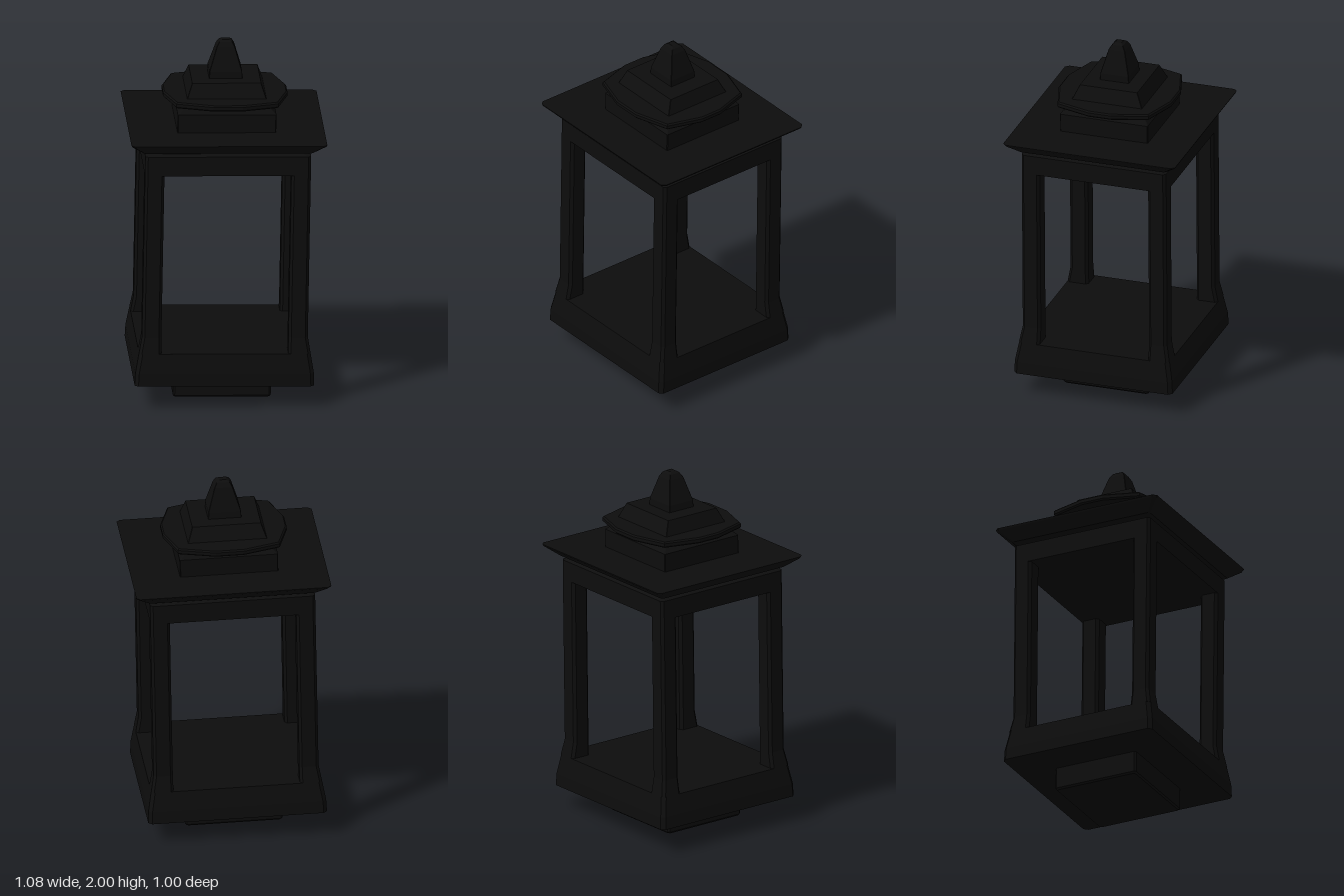
import * as THREE from 'three';

const material = new THREE.MeshStandardMaterial({ color: 0x0d0d0d, flatShading: true });

// Closed solid from stacked rectangles with cut corners: rows of [y, x0, x1, z0, z1, cut]
function loft(name, rows) {
  const rings = rows.map(([y, xa, xb, za, zb, c]) => {
    const x0 = Math.min(xa, xb), x1 = Math.max(xa, xb);
    const z0 = Math.min(za, zb), z1 = Math.max(za, zb);
    return [
      [x1 - c, z1], [x1, z1 - c], [x1, z0 + c], [x1 - c, z0],
      [x0 + c, z0], [x0, z0 + c], [x0, z1 - c], [x0 + c, z1],
    ].map(([x, z]) => [x, y, z]);
  });
  const pos = [];
  const tri = (a, b, c) => pos.push(...a, ...b, ...c);
  for (let r = 0; r < rings.length - 1; r++) {
    for (let i = 0; i < 8; i++) {
      const j = (i + 1) % 8;
      const a = rings[r][i], b = rings[r][j], c = rings[r + 1][j], d = rings[r + 1][i];
      tri(a, b, c);
      tri(a, c, d);
    }
  }
  const bottom = rings[0], top = rings[rings.length - 1];
  for (let i = 1; i < 7; i++) {
    tri(bottom[0], bottom[i + 1], bottom[i]);
    tri(top[0], top[i], top[i + 1]);
  }
  const geometry = new THREE.BufferGeometry();
  geometry.setAttribute('position', new THREE.Float32BufferAttribute(pos, 3));
  geometry.computeVertexNormals();
  const mesh = new THREE.Mesh(geometry, material);
  mesh.name = name;
  return mesh;
}

// Centred version: rows of [y, halfX, halfZ, cut]
const block = (name, rows) =>
  loft(name, rows.map(([y, hx, hz, c]) => [y, -hx, hx, -hz, hz, c]));

// Thin twelve-sided plate between the two crown tiers
function crownDisc() {
  const quarter = [[0.343, 0.065], [0.282, 0.265], [0.08, 0.328]];
  const back = quarter.slice().reverse();
  const outline = [
    ...quarter,
    ...back.map(([x, y]) => [-x, y]),
    ...quarter.map(([x, y]) => [-x, -y]),
    ...back.map(([x, y]) => [x, -y]),
  ];
  const bevel = 0.008;
  const shape = new THREE.Shape(outline.map(([x, y]) => new THREE.Vector2(x, y)));
  const geometry = new THREE.ExtrudeGeometry(shape, {
    depth: 0.018, bevelEnabled: true, bevelSize: bevel, bevelOffset: -bevel,
    bevelThickness: bevel, bevelSegments: 1,
  });
  geometry.rotateX(-Math.PI / 2);
  const mesh = new THREE.Mesh(geometry, material);
  mesh.name = 'crownDisc';
  mesh.position.y = 1.684;
  return mesh;
}

export function createModel() {
  const lantern = new THREE.Group();
  lantern.name = 'lantern';

  // Foot and flared base with the floor on top
  lantern.add(block('foot', [
    [0, 0.262, 0.242, 0.01], [0.01, 0.27, 0.25, 0.01], [0.14, 0.27, 0.25, 0.01],
  ]));
  lantern.add(block('base', [
    [0.13, 0.495, 0.46, 0.02], [0.2, 0.492, 0.457, 0.02], [0.31, 0.473, 0.437, 0.02],
  ]));

  // Four corner posts, flared at the bottom on their outer sides
  const posts = new THREE.Group();
  posts.name = 'cornerPosts';
  for (const sx of [-1, 1]) {
    for (const sz of [-1, 1]) {
      const row = (y, x, z) => [y, sx * 0.35, sx * x, sz * 0.315, sz * z, 0.015];
      posts.add(loft('cornerPost', [
        row(0.31, 0.473, 0.437), row(0.4, 0.457, 0.42), row(1.335, 0.457, 0.42),
      ]));
    }
  }
  lantern.add(posts);

  // Lintel with ceiling, and the overhanging roof
  lantern.add(block('lintel', [
    [1.335, 0.457, 0.42, 0.015], [1.445, 0.457, 0.42, 0.015], [1.472, 0.39, 0.355, 0.015],
  ]));
  lantern.add(block('roof', [
    [1.467, 0.467, 0.425, 0.01], [1.522, 0.535, 0.495, 0.02], [1.532, 0.54, 0.5, 0.02],
  ]));

  // Two-tier crown with the plate between
  lantern.add(block('lowerCrown', [
    [1.53, 0.272, 0.255, 0.004], [1.635, 0.272, 0.255, 0.004], [1.685, 0.215, 0.205, 0.004],
  ]));
  lantern.add(crownDisc());
  lantern.add(block('upperCrown', [
    [1.7, 0.222, 0.208, 0.002], [1.79, 0.19, 0.167, 0.002],
  ]));

  // Tapered finial
  lantern.add(block('finial', [
    [1.785, 0.092, 0.084, 0.002], [1.828, 0.09, 0.082, 0.002],
    [1.96, 0.05, 0.047, 0.002], [1.985, 0.036, 0.032, 0.002], [1.995, 0.02, 0.018, 0.002],
  ]));

  // The whole lantern leans slightly to its left
  lantern.rotation.z = -0.018;
  lantern.position.set(-0.026, 0.005, 0);

  const model = new THREE.Group();
  model.add(lantern);
  return model;
}
